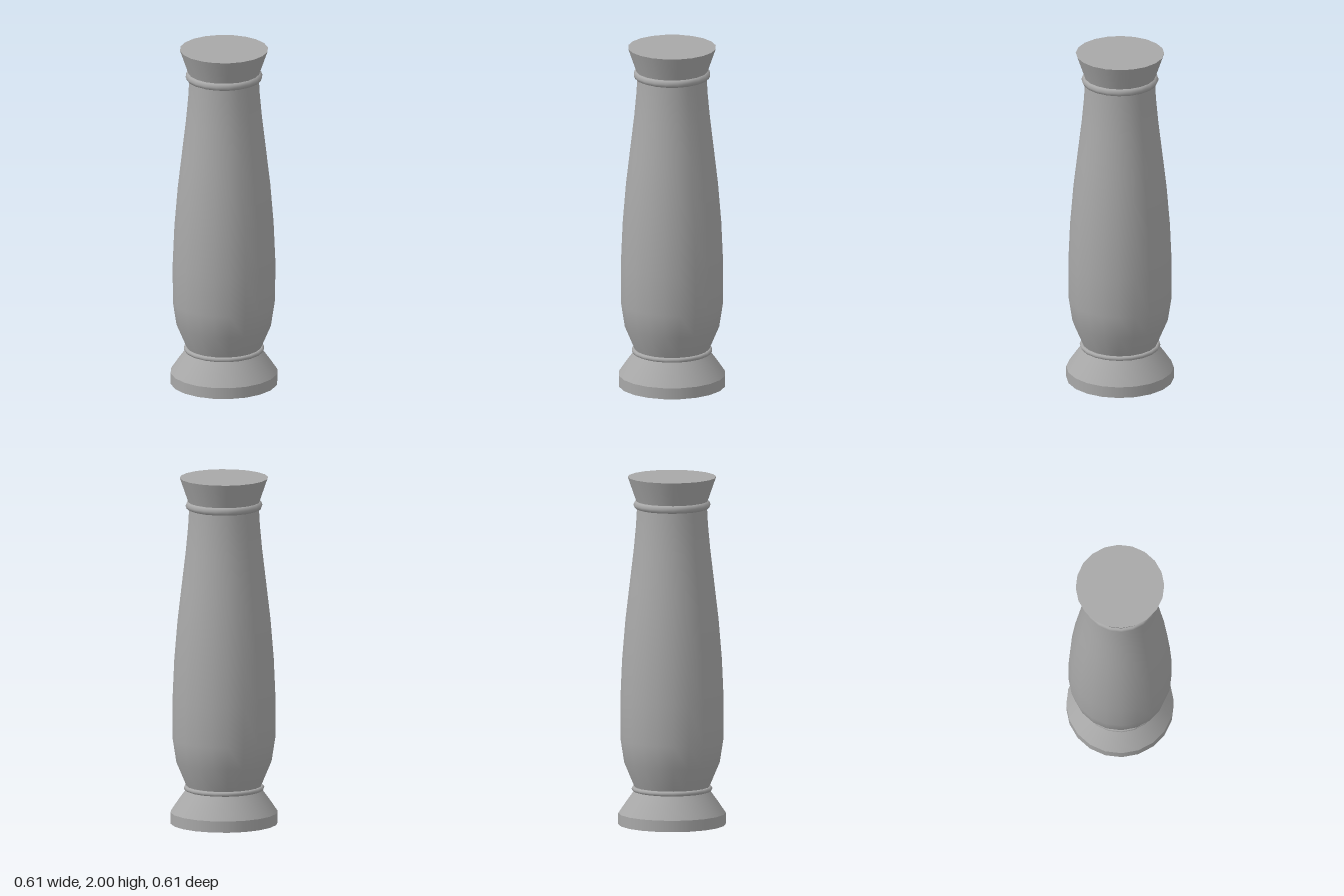
import * as THREE from 'three';

const SIDES = 20;

export function createModel() {
  const group = new THREE.Group();
  group.name = 'baluster';
  const stone = new THREE.MeshStandardMaterial({ color: 0xa8a8a8, side: THREE.DoubleSide });
  stone.name = 'grey stone';

  const add = (name, geometry, y = 0) => {
    const mesh = new THREE.Mesh(geometry, stone);
    mesh.name = name;
    mesh.position.y = y;
    group.add(mesh);
    return mesh;
  };
  // Turned part from [radius, height] pairs, bottom to top
  const turned = (name, profile) =>
    add(name, new THREE.LatheGeometry(profile.map(([r, y]) => new THREE.Vector2(r, y)), SIDES));
  // Rounded collar around the shaft
  const collar = (name, outer, tube, y) =>
    add(name, new THREE.TorusGeometry(outer - tube, tube, 8, SIDES).rotateX(Math.PI / 2), y);

  // Hollow foot, open underneath
  turned('footRim', [[0.306, 0], [0.306, 0.065]]);
  turned('footFlare', [[0.306, 0.065], [0.262, 0.13], [0.215, 0.195]]);
  collar('lowerCollar', 0.23, 0.014, 0.205);

  // Swelling shaft
  turned('shaft', [
    [0.213, 0.215], [0.272, 0.355], [0.293, 0.49], [0.294, 0.72], [0.284, 0.95],
    [0.265, 1.18], [0.244, 1.36], [0.218, 1.58], [0.205, 1.72], [0.199, 1.83],
  ]);
  collar('upperCollar', 0.22, 0.025, 1.84);

  // Flared head with a flat top
  turned('head', [[0.198, 1.84], [0.205, 1.865], [0.252, 2]]);
  const top = new THREE.CircleGeometry(0.252, SIDES).rotateX(-Math.PI / 2);
  add('headTop', top, 2);

  return group;
}
